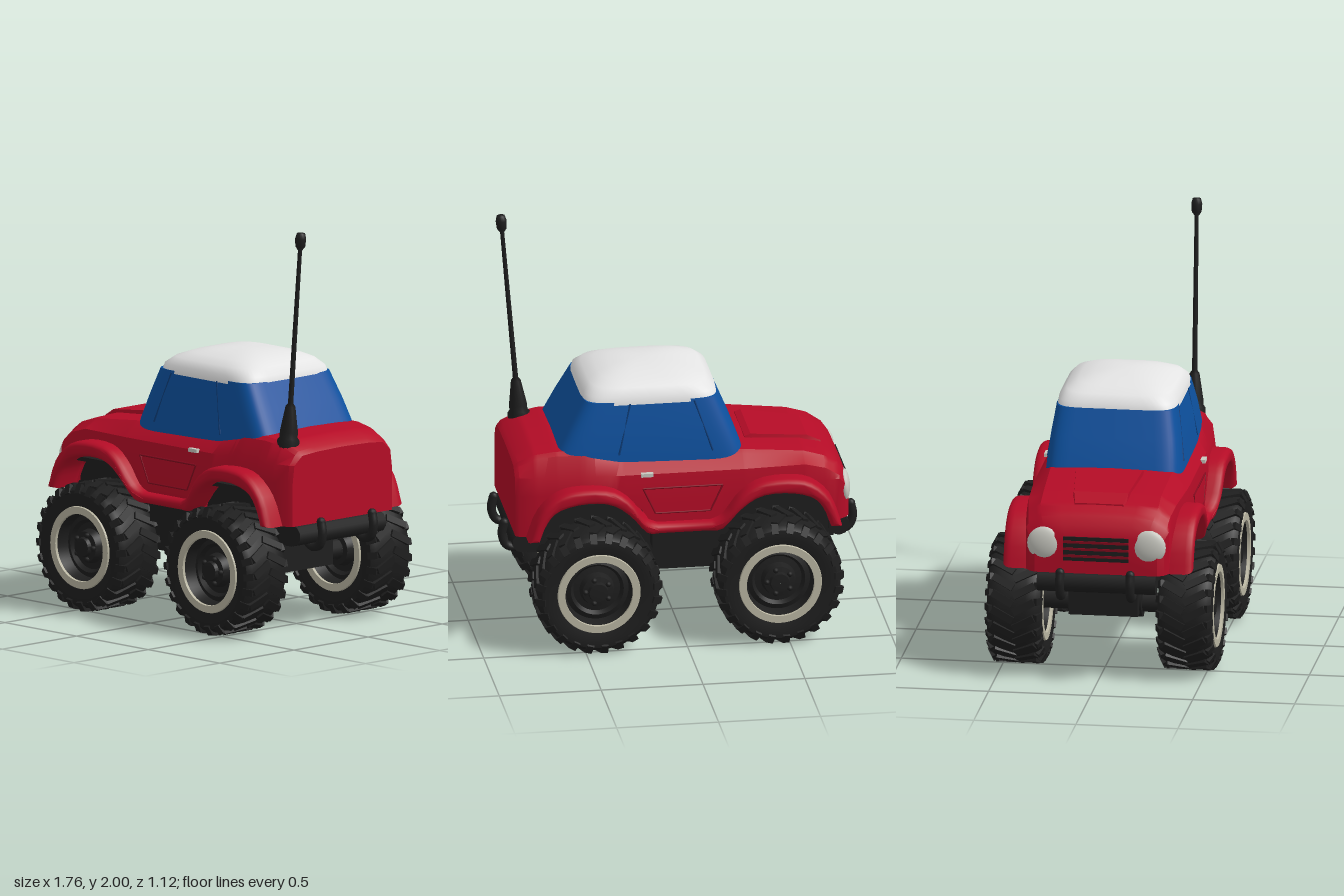
import * as THREE from 'three';
import { mergeGeometries, toCreasedNormals } from 'three/addons/utils/BufferGeometryUtils.js';

const mat = (name, color) => new THREE.MeshStandardMaterial({ name, color });
const V = (x, y, z) => new THREE.Vector3(x, y, z);
const P = (a) => a.map(([x, y]) => new THREE.Vector2(x, y));

// Skin closed rings of points; rings run counter-clockwise about the loft direction
function loft(rings, crease = 0.6) {
  const n = rings[0].length, pos = [], idx = [];
  rings.forEach((r) => r.forEach((p) => pos.push(p.x, p.y, p.z)));
  for (let i = 0; i < rings.length - 1; i++) for (let j = 0; j < n; j++) {
    const a = i * n + j, b = i * n + (j + 1) % n, c = a + n, d = b + n;
    idx.push(a, b, c, b, d, c);
  }
  [0, rings.length - 1].forEach((i) => {
    const m = rings[i].reduce((s, p) => s.add(p), V(0, 0, 0)).divideScalar(n);
    const k = pos.push(m.x, m.y, m.z) / 3 - 1;
    for (let j = 0; j < n; j++) {
      const a = i * n + j, b = i * n + (j + 1) % n;
      if (i) idx.push(k, a, b); else idx.push(k, b, a);
    }
  });
  const g = new THREE.BufferGeometry();
  g.setAttribute('position', new THREE.Float32BufferAttribute(pos, 3));
  g.setIndex(idx);
  return toCreasedNormals(g, crease);
}

// Horizontal rounded rectangle used by the cabin and roof
function roundedRing(y, x0, x1, hz, n) {
  const f = (v) => Math.sign(v) * Math.pow(Math.abs(v), 2 / n);
  return Array.from({ length: 48 }, (_, i) => {
    const t = (i / 48) * Math.PI * 2;
    return V((x0 + x1) / 2 + (x1 - x0) / 2 * f(Math.cos(t)), y, -hz * f(Math.sin(t)));
  });
}

export function createModel() {
  const car = new THREE.Group();
  car.name = 'toyTruck';
  const red = mat('red paint', 0xb40c26), blue = mat('blue glass', 0x0d519f);
  const white = mat('white roof', 0xe4e4e4), black = mat('black rubber', 0x1e1e1e);
  const cream = mat('cream ring', 0xbab6a2), silver = mat('lamp silver', 0xc8c8c0);
  const navy = mat('dark blue seam', 0x0a3a75), maroon = mat('dark red seam', 0x850a1e);

  const add = (name, geo, m, x = 0, y = 0, z = 0, parent = car) => {
    const mesh = new THREE.Mesh(geo, m);
    mesh.name = name;
    mesh.position.set(x, y, z);
    parent.add(mesh);
    return mesh;
  };
  const rod = (name, a, b, r, m) => {
    const mesh = add(name, new THREE.CylinderGeometry(r, r, a.distanceTo(b), 10), m);
    mesh.position.copy(a).lerp(b, 0.5);
    mesh.quaternion.setFromUnitVectors(V(0, 1, 0), b.clone().sub(a).normalize());
  };
  const wheelX = [-0.45, 0.44];

  // Body: x, top height, half width at top, half width at side
  const table = [
    [-0.82, 0.75, 0.25, 0.30], [-0.80, 0.80, 0.28, 0.33], [-0.77, 0.84, 0.295, 0.35],
    [-0.70, 0.885, 0.31, 0.36], [-0.60, 0.915, 0.31, 0.375], [-0.30, 0.945, 0.32, 0.39],
    [0.30, 0.95, 0.33, 0.39], [0.48, 0.985, 0.33, 0.385], [0.62, 0.985, 0.32, 0.375],
    [0.72, 0.97, 0.31, 0.365], [0.80, 0.935, 0.30, 0.35], [0.82, 0.915, 0.29, 0.335]];
  const xs = table.map((r) => r[0]);
  for (let x = -0.745; x < 0.75; x += 0.025) xs.push(x);
  xs.sort((a, b) => a - b);
  const rings = xs.map((x) => {
    let k = 0;
    while (k < table.length - 2 && table[k + 1][0] < x) k++;
    const t = (x - table[k][0]) / (table[k + 1][0] - table[k][0]);
    const [yt, wt, wm] = [1, 2, 3].map((c) => THREE.MathUtils.lerp(table[k][c], table[k + 1][c], t));
    const d = Math.min(...wheelX.map((c) => Math.abs(x - c))) / 0.28;
    const yb = d < 1 ? 0.56 + 0.185 * Math.sqrt(1 - d ** 3) : 0.56;
    const sh = Math.min(0.86, yt - 0.055);
    const half = [[wt * 0.6, yt - 0.004], [wt * 0.93, yt - 0.012], [wt, yt - 0.028], [wm - 0.012, sh],
      [wm, Math.min(sh - 0.01, 0.77)], [wm, yb]];
    return [V(x, yt, 0), ...half.map(([z, y]) => V(x, y, z)), V(x, yb, 0),
      ...half.reverse().map(([z, y]) => V(x, y, -z))];
  });
  add('body', loft(rings, 0.5), red);

  // Raised bonnet panel
  const bonnet = [[-0.71, 0.884, 0.13], [-0.64, 0.922, 0.145], [-0.36, 0.956, 0.175], [-0.33, 0.945, 0.175]];
  add('bonnetPanel', loft(bonnet.map(([x, y, z]) => [V(x, y, -z + 0.012), V(x, y, z - 0.012),
    V(x, 0.86, z), V(x, 0.86, -z)]), 0.3), red);

  // Wheel-arch flares joined by a sill, same shape on both sides
  const outer = P([[-0.77, 0.56], [-0.72, 0.70], [-0.63, 0.79], [-0.52, 0.82], [-0.37, 0.81],
    [-0.27, 0.75], [-0.19, 0.645], [-0.13, 0.615]]);
  const inner = P([[-0.12, 0.56], [-0.185, 0.57], [-0.27, 0.67], [-0.37, 0.735], [-0.5, 0.745],
    [-0.62, 0.715], [-0.68, 0.65], [-0.715, 0.56]]);
  const flip = (a) => a.map((p) => new THREE.Vector2(-p.x, p.y)).reverse();
  const curve = (a) => new THREE.SplineCurve(a).getPoints(20);
  const flare = new THREE.Shape([...curve(outer), ...curve(flip(outer)), ...curve(flip(inner)), ...curve(inner)]);
  let flareGeo = new THREE.ExtrudeGeometry(flare, { depth: 0.09, bevelThickness: 0.04, bevelSize: 0.022,
    bevelOffset: -0.022, bevelSegments: 4 });
  flareGeo.translate(0, 0, 0.335);
  const fp = flareGeo.attributes.position;
  for (let i = 0; i < fp.count; i++) if (fp.getZ(i) > 0.38) {
    const s = 1 - THREE.MathUtils.smoothstep(Math.abs(fp.getX(i)), 0.12, 0.26);
    fp.setZ(i, fp.getZ(i) - 0.035 * s);
  }
  flareGeo.deleteAttribute('normal');
  flareGeo = toCreasedNormals(flareGeo, 0.7);
  [0, Math.PI].forEach((a) => { add('wheelArches', flareGeo, red).rotation.y = a; });

  // Cabin glass and domed roof
  add('cabinGlass', loft([[0.90, -0.315, 0.64, 0.337], [0.95, -0.30, 0.615, 0.333], [1.08, -0.245, 0.545, 0.318],
    [1.21, -0.19, 0.47, 0.295]].map((r) => roundedRing(...r, 9))), blue);
  add('roof', loft([[1.195, -0.193, 0.475, 0.298, 7], [1.235, -0.185, 0.467, 0.292, 6], [1.27, -0.145, 0.43, 0.262, 5],
    [1.295, -0.08, 0.375, 0.21, 4], [1.312, 0, 0.31, 0.14, 3.5], [1.321, 0.09, 0.23, 0.06, 3]]
    .map((r) => roundedRing(...r)), 0.9), white);

  // Seams, door handles, lamps and bumper horns on both sides
  for (const s of [1, -1]) {
    rod('windowSeam', V(-0.15, 0.95, 0.332 * s), V(-0.065, 1.2, 0.295 * s), 0.005, navy);
    rod('windowSeam', V(0.31, 0.95, 0.332 * s), V(0.25, 1.2, 0.295 * s), 0.005, navy);
    const door = [[-0.19, 0.79], [-0.13, 0.66], [0.14, 0.66], [0.20, 0.79], [-0.19, 0.79]]
      .map(([x, y]) => V(x, y, 0.388 * s));
    for (let i = 0; i < 4; i++) rod('doorCrease', door[i], door[i + 1], 0.005, maroon);
    add('doorHandle', new THREE.BoxGeometry(0.06, 0.018, 0.025), silver, 0.18, 0.86, 0.382 * s);
    const lamp = add('headlight', new THREE.SphereGeometry(0.085, 24, 12), silver, -0.80, 0.70, 0.255 * s);
    lamp.scale.x = 0.38;
    for (const e of [-1, 1]) {
      const path = [V(0.74, 0.47, 0), V(0.79, 0.44, 0), V(0.84, 0.455, 0), V(0.86, 0.51, 0), V(0.85, 0.57, 0)];
      const horn = new THREE.Group();
      horn.name = 'bumperHorn';
      horn.position.z = 0.172 * s;
      horn.rotation.y = e > 0 ? 0 : Math.PI;
      car.add(horn);
      add('hornTube', new THREE.TubeGeometry(new THREE.CatmullRomCurve3(path), 16, 0.022, 10), black, 0, 0, 0, horn);
      add('hornTip', new THREE.SphereGeometry(0.022, 10, 8), black, 0.85, 0.57, 0, horn);
    }
  }

  // Grille
  add('grille', new THREE.BoxGeometry(0.02, 0.12, 0.32), black, -0.817, 0.685, 0);
  for (let i = 0; i < 3; i++) add('grilleBar', new THREE.BoxGeometry(0.012, 0.012, 0.32), maroon, -0.826, 0.65 + i * 0.035, 0);

  // Bumpers, chassis and axles
  for (const e of [-1, 1]) rod('bumper', V(0.775 * e, 0.505, -0.29), V(0.775 * e, 0.505, 0.29), 0.052, black);
  add('underbody', new THREE.BoxGeometry(1.5, 0.13, 0.54), black, 0, 0.51, 0);
  add('sillFloor', new THREE.BoxGeometry(0.3, 0.1, 0.72), black, 0, 0.515, 0);
  add('gearbox', new THREE.BoxGeometry(1.16, 0.2, 0.34), black, 0, 0.38, 0);
  for (const x of wheelX) {
    add('archWall', new THREE.BoxGeometry(0.56, 0.24, 0.54), black, x, 0.625, 0);
    add('archLiner', new THREE.BoxGeometry(0.36, 0.02, 0.78), black, x, 0.715, 0);
    rod('axle', V(x, 0.32, -0.38), V(x, 0.32, 0.38), 0.05, black);
    rod('axleHousing', V(x, 0.33, -0.18), V(x, 0.33, 0.18), 0.085, black);
  }

  // Wheel parts, turned about z
  const turned = (pts) => toCreasedNormals(new THREE.LatheGeometry(P(pts), 48).rotateX(Math.PI / 2), 0.6);
  const side = [[0.155, 0.07], [0.165, 0.118], [0.205, 0.122], [0.245, 0.135], [0.28, 0.13], [0.298, 0.108], [0.304, 0.06]];
  const tyre = turned([...side.map(([r, a]) => [r, -a]), ...side.slice().reverse(), [0.155, -0.07]]);
  const ring = turned([[0.206, 0.115], [0.201, 0.131], [0.166, 0.131], [0.160, 0.06]]);
  const rim = turned([[0.165, -0.02], [0.165, 0.05], [0.13, 0.065], [0.115, 0.045], [0.085, 0.05], [0.075, 0.09],
    [0.05, 0.095], [0.045, 0.115], [0.001, 0.118]]);
  const lugs = [];
  const N = 24;
  for (let i = 0; i < N; i++) for (const s of [-1, 1]) {
    const turn = ((i + (s > 0 ? 0.5 : 0)) / N) * Math.PI * 2;
    lugs.push(new THREE.BoxGeometry(0.036, 0.024, 0.115).rotateY(s * 0.5).translate(0, 0.302, s * 0.052).rotateZ(turn));
    lugs.push(new THREE.BoxGeometry(0.034, 0.05, 0.02).rotateX(s * -0.5).translate(0.028, 0.285, s * 0.121).rotateZ(turn));
  }
  const tread = mergeGeometries(lugs);
  for (const x of wheelX) for (const s of [-1, 1]) {
    const wheel = new THREE.Group();
    wheel.name = 'wheel';
    wheel.position.set(x, 0.316, 0.418 * s);
    car.add(wheel);
    add('tyre', tyre, black, 0, 0, 0, wheel);
    add('tread', tread, black, 0, 0, 0, wheel);
    for (const a of [0, Math.PI]) {
      add('wheelRing', ring, cream, 0, 0, 0, wheel).rotation.y = a;
      add('rim', rim, black, 0, 0, 0, wheel).rotation.y = a;
    }
    for (let i = 0; i < 5; i++) {
      const t = (i / 5) * Math.PI * 2;
      add('wheelNut', new THREE.SphereGeometry(0.014, 8, 6), black, 0.062 * Math.cos(t), 0.062 * Math.sin(t), 0.095 * s, wheel);
    }
  }

  // Leaning aerial
  const aerial = add('aerial', new THREE.LatheGeometry(P([[0.055, -0.02], [0.055, 0.03], [0.044, 0.045], [0.044, 0.075],
    [0.024, 0.2], [0.013, 0.215], [0.010, 0.98], [0.024, 1.0], [0.027, 1.04], [0.02, 1.066], [0, 1.07]]), 16), black, 0.71, 0.935, 0.26);
  aerial.rotation.z = -0.0855;
  return car;
}
